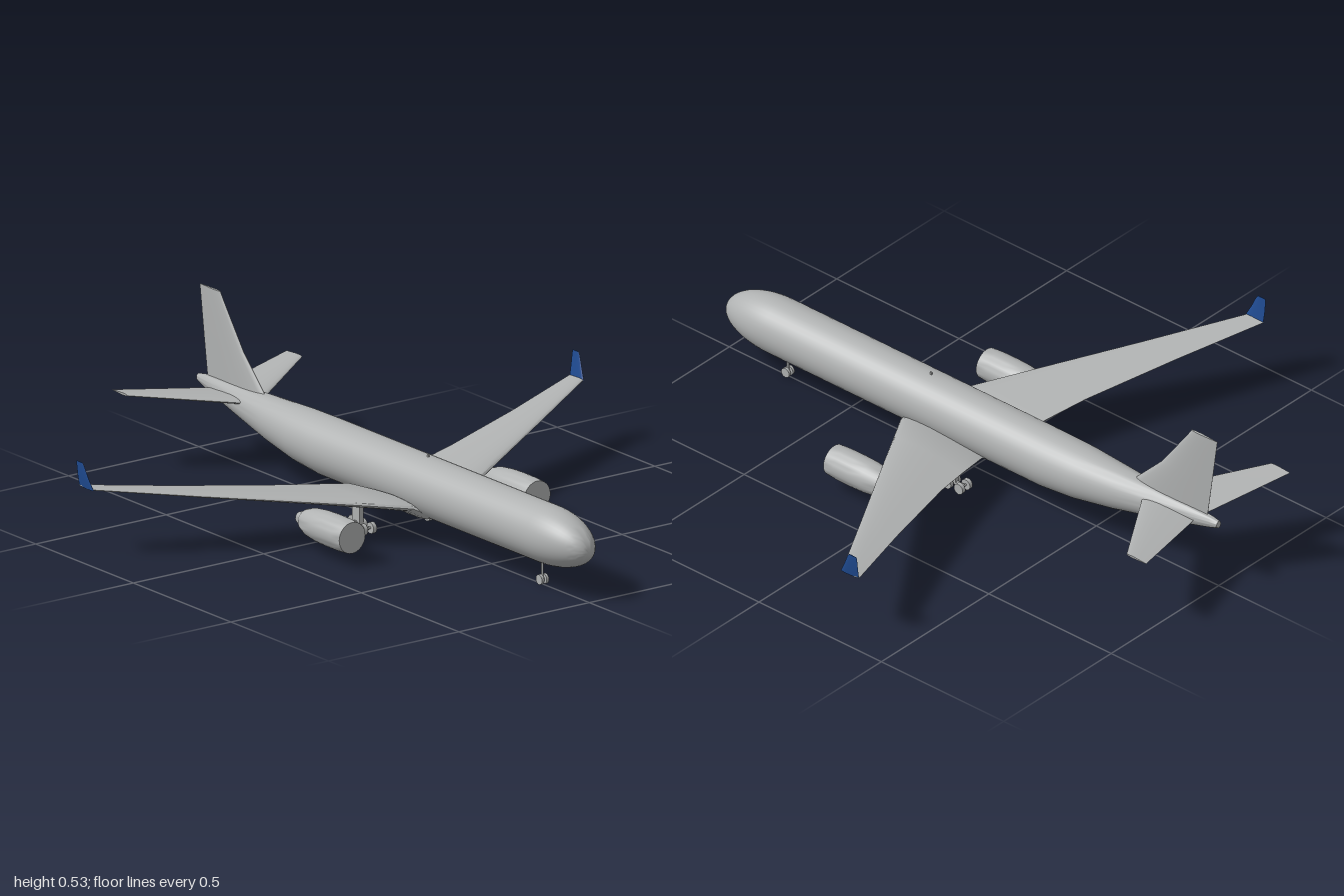
import * as THREE from 'three';
import { toCreasedNormals } from 'three/addons/utils/BufferGeometryUtils.js';

const paint = new THREE.MeshStandardMaterial({ color: 0xb0b2b2 });
paint.name = 'light grey';
const blue = new THREE.MeshStandardMaterial({ color: 0x1f4b92 });
blue.name = 'winglet blue';

// Closed skin through rings of equal point count, capped at both ends, facing outward
function loft(rings, crease = 0.6) {
  const n = rings[0].length, pts = rings.flat(), idx = [];
  for (let i = 0; i < rings.length - 1; i++) {
    for (let j = 0; j < n; j++) {
      const a = i * n + j, b = i * n + (j + 1) % n;
      idx.push(a, b, b + n, a, b + n, a + n);
    }
  }
  const last = (rings.length - 1) * n;
  for (let j = 1; j < n - 1; j++) {
    idx.push(0, j + 1, j, last, last + j, last + j + 1);
  }
  let volume = 0;
  for (let i = 0; i < idx.length; i += 3) {
    volume += pts[idx[i]].dot(pts[idx[i + 1]].clone().cross(pts[idx[i + 2]]));
  }
  if (volume < 0) idx.reverse();
  const geo = new THREE.BufferGeometry().setFromPoints(pts);
  geo.setIndex(idx);
  return toCreasedNormals(geo, crease);
}

// Airfoil ring: chord fraction and half thickness fraction
const FOIL = [[0, 0], [0.02, 0.2], [0.08, 0.36], [0.2, 0.47], [0.35, 0.5], [0.6, 0.36], [0.85, 0.15], [1, 0.02]];
const FOIL_LOOP = [...FOIL, ...FOIL.slice(1).reverse().map(([c, h]) => [c, -h])];

// Sections are [x, y, leading z, trailing z, thickness]
function surface(sections, axis, side = 1) {
  return loft(sections.map(([x, y, le, te, t]) => FOIL_LOOP.map(([c, h]) => {
    const p = new THREE.Vector3(x, y, le + (te - le) * c);
    p[axis] += h * t;
    p.x *= side;
    return p;
  })));
}

function add(parent, name, geo, mat = paint, x = 0, y = 0, z = 0) {
  const mesh = new THREE.Mesh(geo, mat);
  mesh.name = name;
  mesh.position.set(x, y, z);
  parent.add(mesh);
  return mesh;
}

function fuselage() {
  // Stations: z, bottom, top, half width
  const stations = [];
  for (let i = 0; i <= 14; i++) {
    const a = 0.03 + (i / 14) * (Math.PI / 2 - 0.03);
    const r = Math.sin(a), yc = 0.157 + 0.0125 * r;
    stations.push([0.79 + 0.21 * Math.cos(a), yc - 0.0925 * r, yc + 0.0925 * r, 0.09 * r]);
  }
  stations.push(
    [0.2, 0.077, 0.262, 0.09], [-0.32, 0.077, 0.262, 0.09], [-0.45, 0.089, 0.261, 0.085],
    [-0.6, 0.115, 0.256, 0.068], [-0.75, 0.148, 0.252, 0.046], [-0.88, 0.179, 0.247, 0.028],
    [-0.97, 0.203, 0.242, 0.016], [-1, 0.213, 0.237, 0.01]);
  return loft(stations.map(([z, lo, hi, w]) => Array.from({ length: 40 }, (_, j) => {
    const a = j / 40 * Math.PI * 2;
    return new THREE.Vector3(w * Math.cos(a), (lo + hi) / 2 + (hi - lo) / 2 * Math.sin(a), z);
  })), 0.8);
}

// Solid nacelle turned about z, with a closed intake face
function nacelle() {
  const profile = [[0, -0.01], [0.018, -0.008], [0.026, 0.015], [0.036, 0.03], [0.046, 0.06],
    [0.052, 0.11], [0.0535, 0.16], [0.053, 0.22], [0.05, 0.26], [0, 0.26]];
  const geo = new THREE.LatheGeometry(profile.map(([r, z]) => new THREE.Vector2(r, z)), 32);
  return toCreasedNormals(geo.rotateX(Math.PI / 2), 0.7);
}

function wheel(parent, x, y, z, r, width) {
  add(parent, 'wheel', new THREE.CylinderGeometry(r, r, width, 20).rotateZ(Math.PI / 2), paint, x, y, z);
}

function mainGear(side) {
  const gear = new THREE.Group();
  gear.name = side > 0 ? 'leftMainGear' : 'rightMainGear';
  add(gear, 'strut', new THREE.BoxGeometry(0.014, 0.1, 0.04), paint, 0, 0.072, -0.02);
  add(gear, 'bogieBeam', new THREE.BoxGeometry(0.01, 0.01, 0.1), paint, 0, 0.019, -0.018);
  for (const z of [0.03, -0.018, -0.066]) {
    add(gear, 'axle', new THREE.CylinderGeometry(0.004, 0.004, 0.036, 10).rotateZ(Math.PI / 2), paint, 0, 0.019, z);
    for (const x of [-0.017, 0.017]) wheel(gear, x, 0.018, z, 0.018, 0.013);
  }
  gear.position.x = side * 0.125;
  return gear;
}

function noseGear() {
  const gear = new THREE.Group();
  gear.name = 'noseGear';
  add(gear, 'strut', new THREE.CylinderGeometry(0.004, 0.004, 0.08, 12), paint, 0, 0.056, 0);
  add(gear, 'axle', new THREE.CylinderGeometry(0.004, 0.004, 0.02, 10).rotateZ(Math.PI / 2), paint, 0, 0.018, 0);
  for (const x of [-0.009, 0.009]) wheel(gear, x, 0.016, 0, 0.016, 0.009);
  gear.position.z = 0.76;
  return gear;
}

export function createModel() {
  const plane = new THREE.Group();
  plane.name = 'airliner';
  add(plane, 'fuselage', fuselage());

  // Fin with a swept, kinked leading edge
  add(plane, 'fin', surface([
    [0, 0.23, -0.64, -0.95, 0.026], [0, 0.255, -0.665, -0.957, 0.024], [0, 0.36, -0.77, -0.972, 0.018],
    [0, 0.5, -0.872, -0.991, 0.011], [0, 0.527, -0.89, -0.995, 0.009]], 'x'));
  add(plane, 'antenna', new THREE.BoxGeometry(0.004, 0.014, 0.008), paint, 0, 0.264, 0.175);

  for (const side of [1, -1]) {
    const label = side > 0 ? 'left' : 'right';
    add(plane, label + 'Wing', surface([
      [0.04, 0.096, 0.25, -0.1, 0.044], [0.09, 0.122, 0.22, -0.11, 0.038], [0.2, 0.135, 0.154, -0.132, 0.031],
      [0.335, 0.15, 0.074, -0.162, 0.025], [0.65, 0.183, -0.114, -0.258, 0.014],
      [0.942, 0.216, -0.288, -0.358, 0.008]], 'y', side));
    add(plane, label + 'Winglet', surface([
      [0.94, 0.213, -0.283, -0.356, 0.007], [0.946, 0.25, -0.302, -0.357, 0.006],
      [0.95, 0.285, -0.317, -0.357, 0.004], [0.951, 0.296, -0.325, -0.356, 0.003]], 'x', side), blue);
    add(plane, label + 'Tailplane', surface([
      [0, 0.213, -0.695, -0.91, 0.024], [0.04, 0.217, -0.722, -0.922, 0.02],
      [0.335, 0.247, -0.918, -0.998, 0.007]], 'y', side));
    add(plane, label + 'Engine', nacelle(), paint, side * 0.355, 0.089, 0);
    plane.add(mainGear(side));
  }
  plane.add(noseGear());
  return plane;
}
